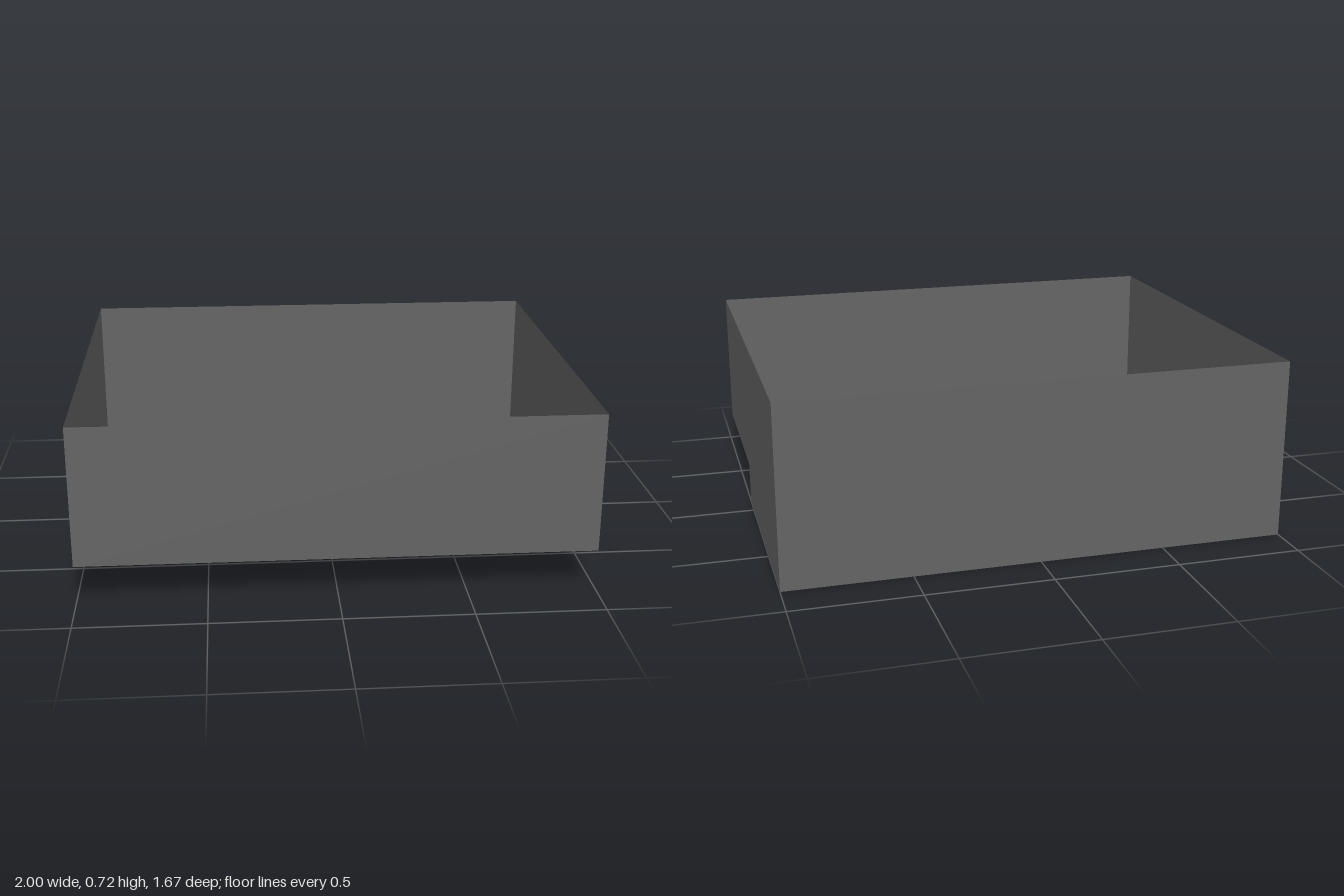
import * as THREE from 'three';

const W = 1, D = 0.833, H = 0.722; // half width, half depth, height
const STEP_Y = 0.167, STEP_Z = 0.111; // raised front floor
const WELL = { x: 0.185, z0: -0.455, z1: -0.275, h: 0.16 }; // pocket pressed up into the floor

export function createModel() {
  const group = new THREE.Group();
  const grey = new THREE.MeshStandardMaterial({ color: 0x646464, side: THREE.DoubleSide });
  grey.name = 'dark grey';

  const add = (name, geometry) => {
    const mesh = new THREE.Mesh(geometry, grey);
    mesh.name = name;
    group.add(mesh);
    return mesh;
  };
  // Upright sheet across x, facing +z
  const acrossX = (name, halfWidth, y0, y1, z) =>
    add(name, new THREE.PlaneGeometry(halfWidth * 2, y1 - y0)).position.set(0, (y0 + y1) / 2, z);
  // Level sheet, facing up
  const level = (name, halfWidth, z0, z1, y) =>
    add(name, new THREE.PlaneGeometry(halfWidth * 2, z1 - z0).rotateX(-Math.PI / 2))
      .position.set(0, y, (z0 + z1) / 2);

  // Walls
  acrossX('frontWall', W, STEP_Y, H, D);
  acrossX('backWall', W, 0, H, -D);
  acrossX('stepRiser', W, 0, STEP_Y, STEP_Z);

  // Stepped side walls, drawn with shape x = -z
  const side = new THREE.Shape([
    [-D, STEP_Y], [-STEP_Z, STEP_Y], [-STEP_Z, 0], [D, 0], [D, H], [-D, H],
  ].map(([x, y]) => new THREE.Vector2(x, y)));
  for (const [name, x] of [['leftWall', W], ['rightWall', -W]]) {
    add(name, new THREE.ShapeGeometry(side).rotateY(Math.PI / 2)).position.x = x;
  }

  // Floors: the low one has a hole under the pocket, shape y = -z
  level('raisedFloor', W, STEP_Z, D, STEP_Y);
  const rect = (Type, x, z0, z1) => new Type([
    new THREE.Vector2(-x, -z1), new THREE.Vector2(x, -z1),
    new THREE.Vector2(x, -z0), new THREE.Vector2(-x, -z0),
  ]);
  const floor = rect(THREE.Shape, W, -D, STEP_Z);
  floor.holes.push(rect(THREE.Path, WELL.x, WELL.z0, WELL.z1));
  add('lowFloor', new THREE.ShapeGeometry(floor).rotateX(-Math.PI / 2));

  // Pocket, open from below
  level('pocketTop', WELL.x, WELL.z0, WELL.z1, WELL.h);
  acrossX('pocketFront', WELL.x, 0, WELL.h, WELL.z1);
  acrossX('pocketBack', WELL.x, 0, WELL.h, WELL.z0);
  for (const s of [1, -1]) {
    add(s > 0 ? 'pocketLeft' : 'pocketRight',
      new THREE.PlaneGeometry(WELL.z1 - WELL.z0, WELL.h).rotateY(s * Math.PI / 2))
      .position.set(s * WELL.x, WELL.h / 2, (WELL.z0 + WELL.z1) / 2);
  }
  return group;
}
